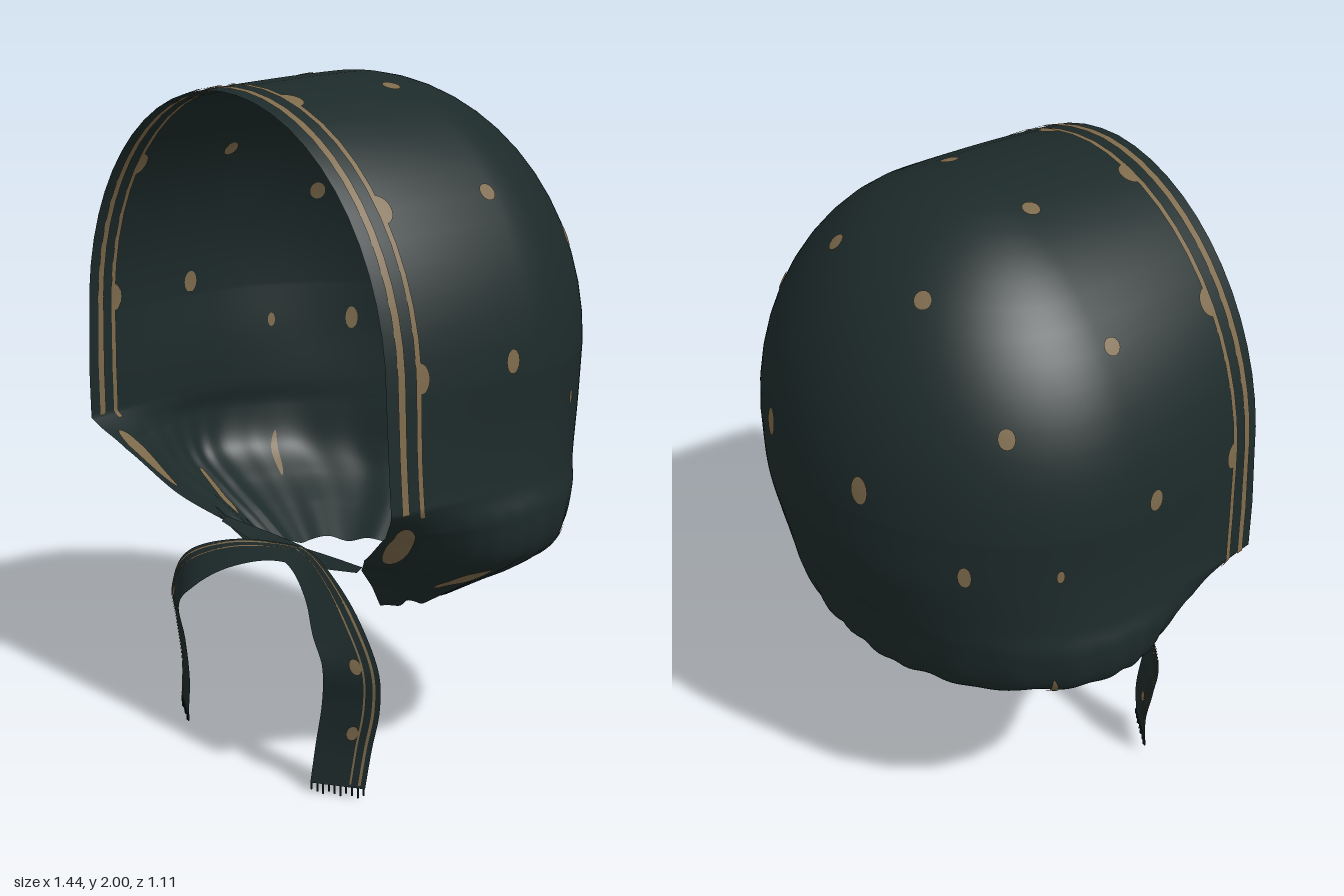
import * as THREE from 'three';

const { lerp, clamp } = THREE.MathUtils;
const cloth = new THREE.MeshStandardMaterial({ color: 0x1d2a2a, side: THREE.DoubleSide });
cloth.name = 'dark cloth';
const tan = new THREE.MeshStandardMaterial({ color: 0x7d6a4c, side: THREE.DoubleSide });
tan.name = 'tan print';

// Horizontal slices below the dome: y, half width, back z, front edge x, front edge z
const ROWS = [
  [1.25, 0.70, -0.555, 0.65, 0.545],
  [1.08, 0.692, -0.545, 0.66, 0.545],
  [0.93, 0.70, -0.505, 0.665, 0.54],
  [0.84, 0.718, -0.475, 0.58, 0.48],
  [0.72, 0.69, -0.445, 0.42, 0.41],
  [0.64, 0.585, -0.415, 0.31, 0.32],
  [0.57, 0.46, -0.33, 0.29, 0.26],
  [0.495, 0.33, -0.20, 0.27, 0.21],
];
const LAST = ROWS.length; // v runs 0..1 over the dome, then one unit per row
const ZM = 0.05;          // z of the widest point
const sideCurve = new THREE.CatmullRomCurve3(
  ROWS.map(r => new THREE.Vector3(r[1], r[0], r[2])), false, 'catmullrom', 0.5);

function slice(v) {
  if (v < 1) {
    const a = v * Math.PI / 2, s = Math.sin(a);
    return { y: 1.25 + 0.75 * Math.cos(a), w: 0.70 * s, b: ZM - 0.605 * s, wf: 0.65 * s, f: 0.555 - 0.01 * s };
  }
  const t = Math.min(v - 1, LAST - 1), i = Math.min(Math.floor(t), LAST - 2), k = t - i;
  const p = sideCurve.getPoint(t / (LAST - 1));
  return { y: p.y, w: p.x, b: p.z, wf: lerp(ROWS[i][3], ROWS[i + 1][3], k), f: lerp(ROWS[i][4], ROWS[i + 1][4], k) };
}

// Bonnet surface: u = 0 at centre back, +-1 at the front edges
function bonnet(u, v) {
  const c = slice(v), q = Math.abs(u), sign = u < 0 ? -1 : 1;
  let x, z, y = c.y;
  if (q < 0.6) {
    const a = q / 0.6 * Math.PI / 2;
    x = c.w * Math.sin(a);
    z = ZM + (c.b - ZM) * Math.cos(a);
  } else {
    const s = (q - 0.6) / 0.4;
    x = c.w - (c.w - c.wf) * s * s;
    z = ZM + (c.f - ZM) * s;
    y -= 0.015 * s * s * clamp((c.y - 1.25) / 0.75, 0, 1); // the brim dips a little
  }
  // Soft gathers towards the neck
  const g = clamp((v - 3.5) / 3.5, 0, 1) * clamp((1 - q) * 8, 0, 1);
  const ripple = 1 + 0.012 * g * Math.cos(70 * q + 2 * Math.sin(9 * q));
  return new THREE.Vector3(sign * x * ripple, y + 0.008 * g * g * Math.cos(31 * q), ZM + (z - ZM) * ripple);
}

// Grid surface from a function of (a, b), both 0..1
function sheet(fn, na, nb) {
  const pos = [], idx = [];
  for (let j = 0; j <= nb; j++)
    for (let i = 0; i <= na; i++) pos.push(...fn(i / na, j / nb).toArray());
  for (let j = 0; j < nb; j++)
    for (let i = 0; i < na; i++) {
      const p = j * (na + 1) + i, q = p + na + 1;
      idx.push(p, p + 1, q, p + 1, q + 1, q);
    }
  const g = new THREE.BufferGeometry();
  g.setAttribute('position', new THREE.Float32BufferAttribute(pos, 3));
  g.setIndex(idx);
  g.computeVertexNormals();
  return g;
}

function add(group, name, geometry, material) {
  const m = new THREE.Mesh(geometry, material);
  m.name = name;
  group.add(m);
  return m;
}

const E = 0.002;
const slopes = (S, u, v) => [
  S(u + E, v).sub(S(u - E, v)).divideScalar(2 * E),
  S(u, v + E).sub(S(u, Math.max(v - E, 0))).divideScalar(v < E ? E : 2 * E)];

// Printed mark lying on both faces of surface S; map gives (u, v) on it
function print(group, name, S, map, na, nb, lift = 0.004) {
  for (const side of [-1, 1])
    add(group, name, sheet((a, b) => {
      const [u, v] = map(a, b), [du, dv] = slopes(S, u, v);
      return S(u, v).addScaledVector(du.cross(dv).normalize(), side * lift);
    }, na, nb), tan);
}

// Round spot; with half set, only the side away from the front edge
function dot(group, name, S, u, v, rx, ry, half = false) {
  const [du, dv] = slopes(S, u, v), ku = rx / du.length(), kv = ry / dv.length();
  const turn = half ? Math.PI : 2 * Math.PI, start = half ? Math.sign(u) * Math.PI / 2 : 0;
  print(group, name, S, (a, b) => [
    u + ku * a * Math.cos(start + b * turn), v + kv * a * Math.sin(start + b * turn)], 3, 16);
}

// Long leaf-shaped mark between two (u, v) points, mirrored; w is its half width in u
function streak(group, [u0, v0], [u1, v1], w) {
  for (const side of [-1, 1])
    print(group, 'streak', bonnet, (a, b) => [
      side * (lerp(u0, u1, b) + (a * 2 - 1) * w * Math.sqrt(Math.sin(Math.PI * b) + 0.01)), lerp(v0, v1, b)], 4, 24);
}

// Closest (u, v) on the left half of the bonnet to a point
function locate(x, y, z) {
  const target = new THREE.Vector3(x, y, z);
  let best = Infinity, found;
  for (let i = 1; i < 100; i++)
    for (let j = 1; j < 240; j++) {
      const u = i / 100, v = j / 240 * LAST, d = bonnet(u, v).distanceToSquared(target);
      if (d < best) { best = d; found = [u, v]; }
    }
  return found;
}

// Ribbon centre line and half width direction, for the tie hanging on the left
const TIE = [
  [-0.31, 0.642, 0.315], [-0.10, 0.613, 0.30], [0.05, 0.607, 0.325], [0.20, 0.575, 0.385],
  [0.325, 0.505, 0.435], [0.393, 0.40, 0.44], [0.385, 0.28, 0.43], [0.36, 0.15, 0.435], [0.35, 0.03, 0.45]];
const SPAN = [
  [0, 0.006, -0.01], [0, 0.013, -0.03], [0.004, 0.018, -0.035], [0.022, 0.034, -0.032],
  [0.055, 0.035, -0.035], [0.07, 0.005, -0.042], [0.075, 0, -0.042], [0.072, 0, -0.042], [0.07, 0, -0.042]];
const curve = pts => new THREE.CatmullRomCurve3(pts.map(p => new THREE.Vector3(...p)), false, 'catmullrom', 0.5);
const tieLine = curve(TIE), tieSpan = curve(SPAN);

function makeTie(side) {
  const g = new THREE.Group();
  g.name = side > 0 ? 'leftTie' : 'rightTie';
  const S = (k, t) => {
    const p = tieLine.getPoint(clamp(t, 0, 1)).addScaledVector(tieSpan.getPoint(clamp(t, 0, 1)), k);
    if (side < 0) { // the right tie is a little shorter and passes in front
      p.y += 0.03 * clamp((t - 0.5) * 2, 0, 1);
      p.z += 0.012 * (1 - t);
    }
    p.x *= side;
    return p;
  };
  add(g, 'ribbon', sheet((a, b) => S(a * 2 - 1, b), 6, 64), cloth);
  for (const [k, w] of [[0.45, 0.035], [0.78, 0.05]])
    print(g, 'ribbonStripe', S, (a, b) => [k + (a * 2 - 1) * w, 0.2 + b * 0.79], 1, 64, 0.003);
  for (const t of [0.62, 0.83]) dot(g, 'ribbonDot', S, 0.22, t, 0.018, 0.024);
  // Frayed end
  for (let i = 0; i < 10; i++) {
    const len = 0.02 + 0.01 * ((i * 7) % 3) / 2;
    const strand = add(g, 'fringe', new THREE.BoxGeometry(0.004, len, 0.004), cloth);
    strand.position.copy(S(-0.95 + i * 0.211, 1));
    strand.position.y -= len / 2;
  }
  return g;
}

export function createModel() {
  const model = new THREE.Group();
  model.name = 'bonnet';

  // Shell, with the ridge normals levelled so both halves meet smoothly
  const NU = 160;
  const shell = sheet((a, b) => bonnet(a * 2 - 1, b * LAST), NU, LAST * 14);
  const n = shell.attributes.normal, up = Math.sign(n.getY(NU + 1 + NU / 2)) || 1;
  for (let i = 0; i <= NU; i++) n.setXYZ(i, 0, up, 0);
  add(model, 'shell', shell, cloth);

  // Border stripes, set in from the front edge
  const inset = (v, d) => 1 - 0.4 * d / (slice(v).f - ZM);
  for (const side of [-1, 1])
    for (const [d0, d1, v1] of [[0.034, 0.057, 3], [0.09, 0.107, 3.2]])
      print(model, 'borderStripe', bonnet, (a, b) => {
        const v = b * v1;
        return [side * inset(v, lerp(d0, d1, a)), v];
      }, 1, 44);

  // Spots: x, y, z, half width, half height
  const spots = [
    [0.19, 1.97, 0.085, 0.026, 0.026], [0.55, 1.73, 0.08, 0.026, 0.026], [0.70, 1.28, 0.12, 0.024, 0.034],
    [0.205, 1.82, -0.295, 0.027, 0.027], [0.53, 1.54, -0.27, 0.024, 0.03], [0.21, 1.33, -0.52, 0.028, 0.044],
    [0.48, 1.13, -0.36, 0.02, 0.036], [0.64, 1.13, -0.17, 0.012, 0.022]];
  const borderSpots = [
    [0.18, 1.96, 0.45, 0.036, 0.04], [0.51, 1.73, 0.45, 0.036, 0.042], [0.67, 1.29, 0.45, 0.034, 0.045]];
  for (const list of [spots, borderSpots])
    for (const [x, y, z, rx, ry] of list) {
      const [u, v] = locate(x, y, z);
      for (const side of [-1, 1]) dot(model, 'spot', bonnet, side * u, v, rx, ry, list === borderSpots);
    }

  // Drawn-out marks in the gathers and along the lower front edge
  streak(model, locate(0.64, 0.70, 0.14), locate(0.45, 0.555, 0.18), 0.028);
  streak(model, locate(0.66, 0.75, -0.18), locate(0.55, 0.62, -0.13), 0.008);
  streak(model, [inset(3.55, 0.045), 3.55], [inset(5.05, 0.04), 5.05], 0.027);

  model.add(makeTie(1), makeTie(-1));
  return model;
}
